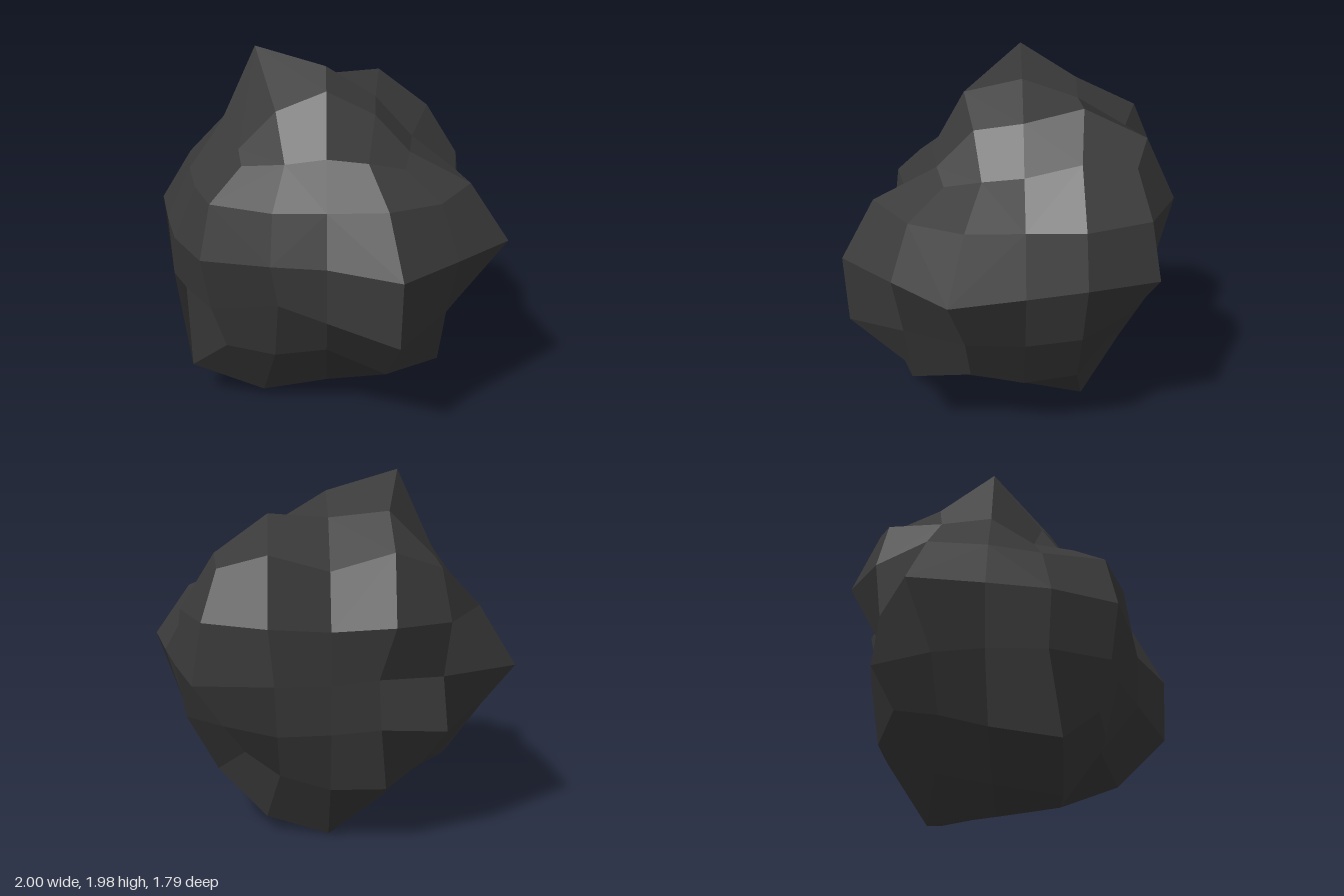
import * as THREE from 'three';

// Reach of each lattice point from the core: one layer per height (bottom to top),
// rows run back to front, columns run -x to +x. Interior points are unused.
const reach = [
  [[.5, .61, .61, .55, .45], [.55, .78, .97, .875, .605], [.66, .85, .925, .82, .635], [.765, .93, .88, .78, .6], [.55, .59, .57, .67, .605]],
  [[.61, .67, .7, .71, .555], [.735, 0, 0, 0, .77], [.9, 0, 0, 0, .81], [.79, 0, 0, 0, .8], [.62, .67, .79, .96, .64]],
  [[.585, .64, .73, .74, .7], [1, 0, 0, 0, .82], [.92, 0, 0, 0, .905], [.84, 0, 0, 0, 1], [.665, .755, .8, .98, .69]],
  [[.615, .81, .68, .81, .65], [.81, 0, 0, 0, .785], [.78, 0, 0, 0, .745], [.72, 0, 0, 0, .79], [.61, .72, .66, .805, .6]],
  [[.565, .66, .545, .65, .57], [.57, .82, .785, .81, .6], [.585, 1.005, .89, .72, .49], [.48, .7, .82, .68, .46], [.45, .46, .5, .465, .42]],
];

// Rounded-cube boulder: every point of a 4 x 4 x 4 box slides along its ray from the core
function boulderGeometry() {
  const box = new THREE.BoxGeometry(4, 4, 4, 4, 4, 4);
  const pos = box.attributes.position;
  const lattice = (v) => [pos.getX(v), pos.getY(v), pos.getZ(v)].map(Math.round);

  // Split each quad between its two corners with an odd lattice sum
  const old = box.index.array;
  const index = [];
  for (let q = 0; q < old.length; q += 6) {
    const [a, b, d, , c] = old.slice(q, q + 6);
    const odd = lattice(a).reduce((sum, n) => sum + n, 0) % 2 !== 0;
    index.push(...(odd ? [a, b, c, a, c, d] : [a, b, d, b, c, d]));
  }
  box.setIndex(index);

  for (let v = 0; v < pos.count; v++) {
    const p = lattice(v);
    const onEdge = p.filter((n) => Math.abs(n) === 2).length > 1;
    const s = reach[p[1] + 2][p[2] + 2][p[0] + 2];
    const bend = (n) => s * Math.sign(n) * (Math.abs(n) === 2 ? 1 : onEdge ? 0.48 : 0.388);
    pos.setXYZ(v, ...p.map(bend));
  }

  // One shared normal per quad gives flat four-sided facets
  const geometry = box.toNonIndexed();
  geometry.computeVertexNormals();
  const normal = geometry.attributes.normal;
  const first = new THREE.Vector3();
  const second = new THREE.Vector3();
  for (let q = 0; q < normal.count; q += 6) {
    first.fromBufferAttribute(normal, q);
    second.fromBufferAttribute(normal, q + 3);
    first.add(second).normalize();
    for (let v = q; v < q + 6; v++) normal.setXYZ(v, first.x, first.y, first.z);
  }
  return geometry;
}

export function createModel() {
  const model = new THREE.Group();
  model.name = 'rock';
  const stone = new THREE.MeshStandardMaterial({ color: 0x3a3a3a });
  const boulder = new THREE.Mesh(boulderGeometry(), stone);
  boulder.name = 'boulder';
  boulder.position.set(0, 0.97, -0.09);
  model.add(boulder);
  return model;
}
